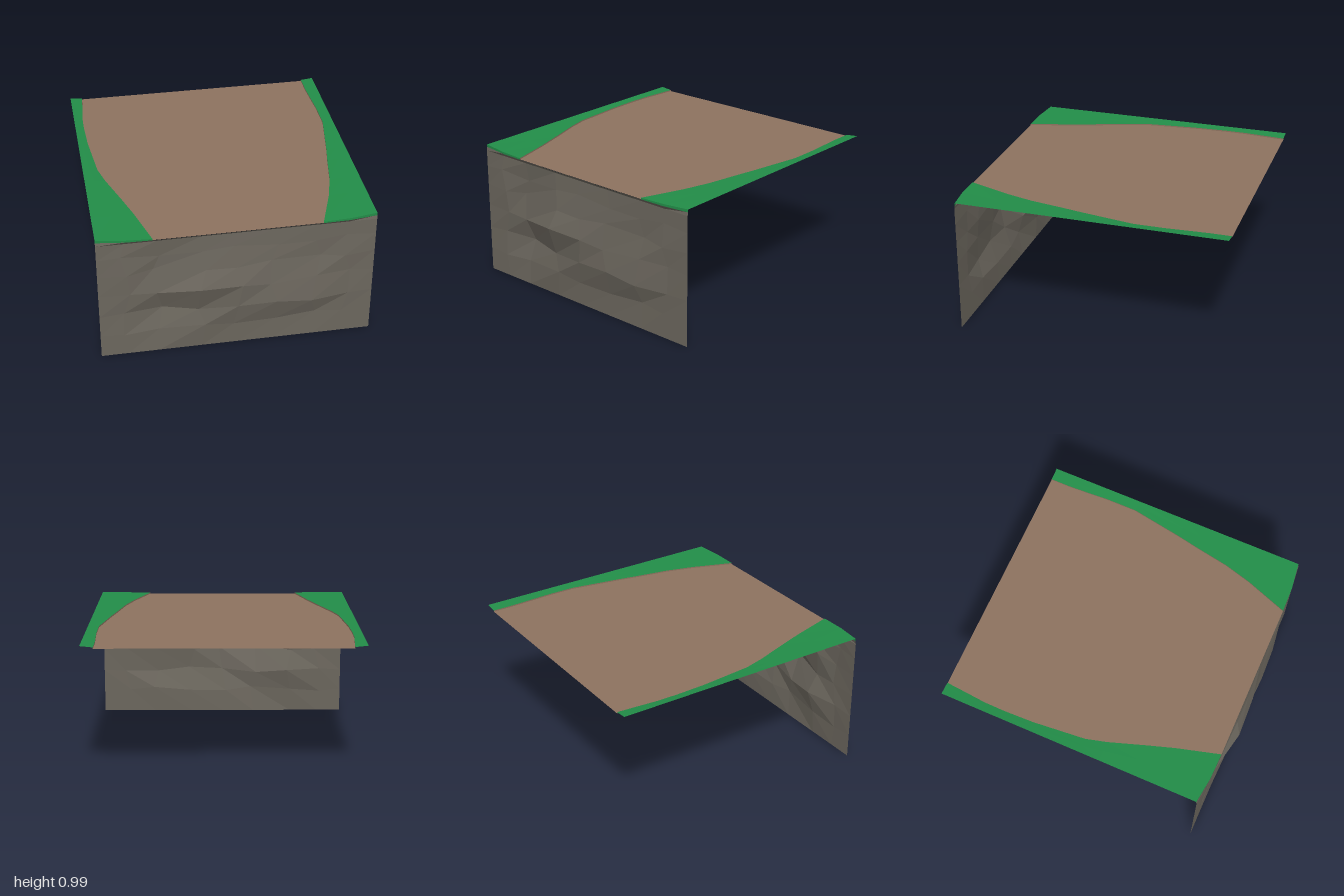
import * as THREE from 'three';

const mat = (name, color) => {
  const m = new THREE.MeshStandardMaterial({ color, side: THREE.DoubleSide });
  m.name = name;
  return m;
};

// Faceted sheet between rows of points (all rows the same length)
function sheet(name, rows, material) {
  const pos = [];
  for (let j = 0; j < rows.length - 1; j++) {
    for (let i = 0; i < rows[j].length - 1; i++) {
      const a = rows[j][i], b = rows[j][i + 1], c = rows[j + 1][i + 1], d = rows[j + 1][i];
      pos.push(...a, ...b, ...c, ...a, ...c, ...d);
    }
  }
  const g = new THREE.BufferGeometry();
  g.setAttribute('position', new THREE.Float32BufferAttribute(pos, 3));
  g.computeVertexNormals();
  const mesh = new THREE.Mesh(g, material);
  mesh.name = name;
  return mesh;
}

export function createModel() {
  const group = new THREE.Group();
  const rock = mat('rock grey', 0x6b665d);
  const dirt = mat('dirt brown', 0x8d725f);
  const grass = mat('grass green', 0x228d48);

  // Path borders, front to back: [z, left x, right x]
  const border = [
    [0.955, -0.58, 0.58], [0.65, -0.665, 0.69], [0.45, -0.73, 0.745], [0.2, -0.815, 0.79],
    [0.05, -0.855, 0.82], [-0.33, -0.89, 0.885], [-0.55, -0.897, 0.885],
    [-0.7, -0.895, 0.877], [-0.85, -0.882, 0.87], [-1, -0.87, 0.87],
  ];
  const pathY = 0.967, innerY = 0.976, outerY = 0.985;

  // Dirt path
  group.add(sheet('path', border.map(([z, l, r]) => [[l, pathY, z], [r, pathY, z]]), dirt));

  // Grass banks with a small step down to the path
  for (const s of [-1, 1]) {
    const side = s < 0 ? 'right' : 'left';
    const bank = new THREE.Group();
    bank.name = side + 'Bank';
    const rows = border.map(([z, l, r], k) => {
      const x = s < 0 ? l : r;
      const row = [
        [x, innerY, z],
        [k ? (x + s * 0.96) / 2 : s * 0.77, (innerY + outerY) / 2, k ? z : 0.95],
        [s * 0.96, outerY, k ? z : 0.925],
      ];
      return s < 0 ? row.reverse() : row;
    });
    bank.add(sheet(side + 'Grass', rows, grass));
    bank.add(sheet(side + 'GrassFront', [rows[0].map(([x, , z]) => [x, 0.965, z]), rows[0]], grass));
    const edge = border.map(([z, l, r]) => [s < 0 ? l : r, innerY, z]);
    if (s > 0) edge.reverse();
    bank.add(sheet(side + 'PathStep', [edge.map(([x, , z]) => [x, pathY, z]), edge], dirt));
    group.add(bank);
  }

  // Cliff relief: z per column, one row per height, bottom to top
  const xs = [-0.96, -0.77, -0.55, -0.25, 0, 0.25, 0.55, 0.77, 0.96];
  const cliff = [
    [0, [0.93, 0.93, 0.93, 0.93, 0.93, 0.93, 0.93, 0.93, 0.93]],
    [0.18, [0.93, 0.93, 0.92, 0.95, 0.935, 0.93, 0.925, 0.93, 0.93]],
    [0.34, [0.93, 0.925, 0.885, 0.925, 0.97, 0.98, 0.97, 0.935, 0.93]],
    [0.52, [0.93, 0.935, 0.935, 0.998, 0.985, 0.965, 0.95, 0.93, 0.93]],
    [0.68, [0.93, 0.94, 0.91, 0.955, 0.955, 0.945, 0.925, 0.94, 0.93]],
    [0.82, [0.93, 0.935, 0.915, 0.935, 0.935, 0.935, 0.93, 0.93, 0.93]],
    [0.94, [0.93, 0.93, 0.93, 0.93, 0.93, 0.93, 0.93, 0.93, 0.93]],
  ];
  const cliffRows = cliff.map(([y, zs], j) => zs.map((z, i) => {
    const inner = i > 0 && i < 8 && j > 0 && j < 6;
    return [xs[i] + (inner ? 0.03 * Math.sin(i * 2.3 + j * 1.7) : 0),
      y + (inner ? 0.018 * Math.sin(i * 1.9 + j * 2.6) : 0), z];
  }));
  group.add(sheet('cliffFace', cliffRows, rock));

  // Overhanging lip joining the cliff to the ground
  const lipZ = [0.925, 0.95, 0.955, 0.955, 0.955, 0.955, 0.955, 0.95, 0.925];
  group.add(sheet('cliffLip', [cliffRows[6], xs.map((x, i) => [x, 0.966, lipZ[i]])], rock));

  return group;
}
